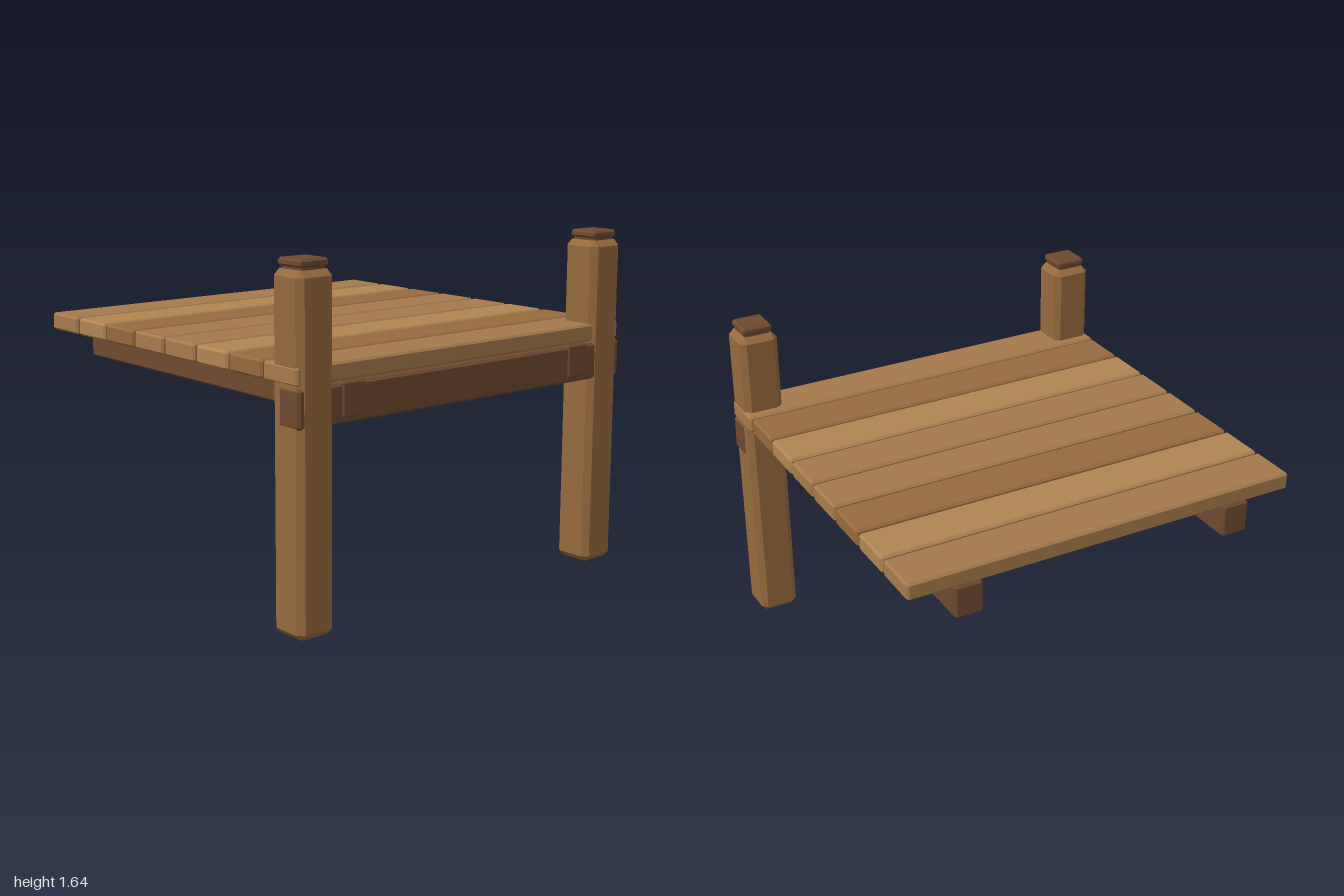
import * as THREE from 'three';
import { ConvexGeometry } from 'three/addons/geometries/ConvexGeometry.js';

const wood = (color) => new THREE.MeshStandardMaterial({ color, flatShading: true });
const midWood = wood(0xa67a4c);
const lightWood = wood(0xb08552);
const warmWood = wood(0x966a3e);
const darkWood = wood(0x6e4a30);

// Box with every edge chamfered by c: the hull of 24 inset corner points
function chamferedBox(w, h, d, c) {
  const points = [];
  for (const sx of [-1, 1]) for (const sy of [-1, 1]) for (const sz of [-1, 1]) {
    for (const [ix, iy, iz] of [[0, c, c], [c, 0, c], [c, c, 0]]) {
      points.push(new THREE.Vector3(sx * (w / 2 - ix), sy * (h / 2 - iy), sz * (d / 2 - iz)));
    }
  }
  return new ConvexGeometry(points);
}

// Timber spanning the given x, y and z ranges
function timber(name, material, [x0, x1], [y0, y1], [z0, z1], chamfer) {
  const mesh = new THREE.Mesh(chamferedBox(x1 - x0, y1 - y0, z1 - z0, chamfer), material);
  mesh.position.set((x0 + x1) / 2, (y0 + y1) / 2, (z0 + z1) / 2);
  mesh.name = name;
  return mesh;
}

const around = (centre, width) => [centre - width / 2, centre + width / 2];

export function createModel() {
  const model = new THREE.Group();
  model.name = 'woodenDock';

  // Deck planks, back to front; the front one is slightly longer
  const deck = new THREE.Group();
  deck.name = 'deck';
  const tones = [midWood, lightWood, warmWood, midWood];
  for (let i = 0; i < 8; i++) {
    const half = i === 7 ? 1 : 0.994;
    const z = -0.881 + i * 0.2495;
    deck.add(timber('plank', tones[i % 4], [-half, half], [1.108, 1.192], around(z, 0.233), 0.01));
  }
  model.add(deck);

  // Front cross beam
  model.add(timber('frontBeam', darkWood, [-1, 1], [0.925, 1.1], [0.855, 0.993], 0.012));

  for (const [side, s] of [['left', 1], ['right', -1]]) {
    // Joist under the planks
    model.add(timber(side + 'Joist', darkWood, around(s * 0.7, 0.137), [0.946, 1.108], [-1, 1], 0.01));

    // Post with a narrow neck and a cap
    const post = new THREE.Group();
    post.name = side + 'Post';
    const x = around.bind(null, s * 0.897);
    const z = around.bind(null, 0.897);
    post.add(
      timber('postShaft', warmWood, x(0.197), [0, 1.59], z(0.197), 0.028),
      timber('postNeck', darkWood, x(0.135), [1.57, 1.615], z(0.135), 0.008),
      timber('postCap', darkWood, x(0.155), [1.6, 1.636], z(0.155), 0.01)
    );
    model.add(post);
  }

  return model;
}
